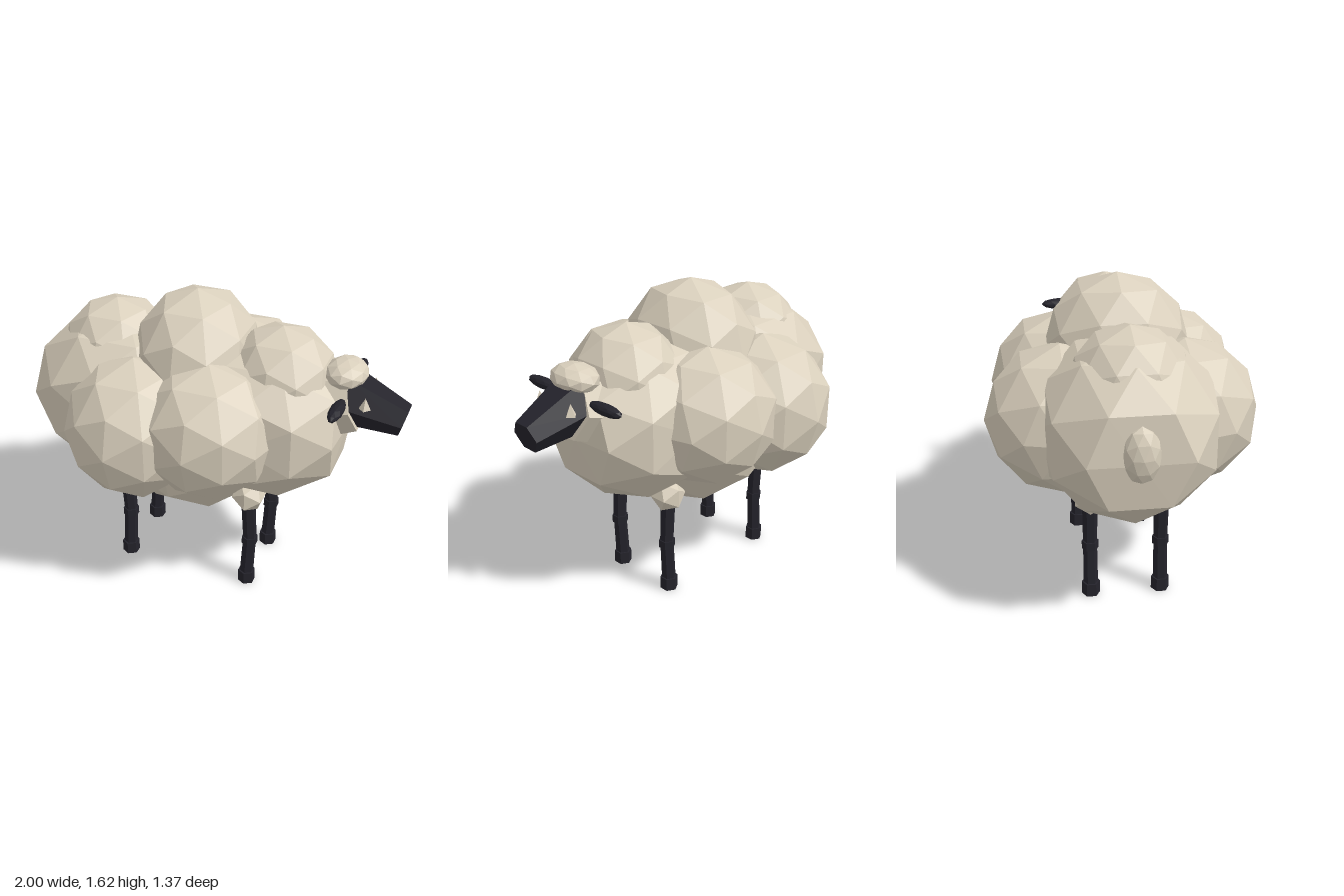
import * as THREE from 'three';

export function createModel() {
  const sheep = new THREE.Group();
  sheep.name = 'sheep';

  const material = (name, color) => {
    const m = new THREE.MeshStandardMaterial({ color, flatShading: true });
    m.name = name;
    return m;
  };
  const wool = material('wool', 0xdad0bd);
  const skin = material('dark skin', 0x24232b);

  const add = (name, geometry, mat, position) => {
    const mesh = new THREE.Mesh(geometry, mat);
    mesh.name = name;
    mesh.position.set(...position);
    sheep.add(mesh);
    return mesh;
  };

  // Faceted ball, optionally squashed along each axis
  const blob = (name, position, radii, detail = 1, mat = wool) =>
    add(name, new THREE.IcosahedronGeometry(1, detail).scale(...radii), mat, position);

  // Ball whose ends are flattened where they pass the given half sizes
  const flattenedBlob = (name, position, radii, limits) => {
    const mesh = blob(name, position, radii);
    const p = mesh.geometry.attributes.position;
    const max = new THREE.Vector3(...limits);
    const min = max.clone().negate();
    const v = new THREE.Vector3();
    for (let i = 0; i < p.count; i++) {
      v.fromBufferAttribute(p, i).clamp(min, max);
      p.setXYZ(i, v.x, v.y, v.z);
    }
    mesh.geometry.computeVertexNormals();
  };

  // Six-sided tapered tube between two points
  const limb = (name, from, to, r0, r1, mat = skin) => {
    const a = new THREE.Vector3(...from);
    const b = new THREE.Vector3(...to);
    const dir = b.clone().sub(a);
    const mid = a.clone().add(b).multiplyScalar(0.5);
    const mesh = add(name, new THREE.CylinderGeometry(r1, r0, dir.length(), 6), mat, mid.toArray());
    mesh.quaternion.setFromUnitVectors(new THREE.Vector3(0, 1, 0), dir.normalize());
  };

  // Fleece along the centre line
  flattenedBlob('rumpWool', [-0.5, 0.985, 0], [0.525, 0.46, 0.47], [0.45, 0.44, 0.43]);
  flattenedBlob('chestWool', [0.27, 0.99, 0], [0.49, 0.43, 0.43], [0.43, 0.43, 0.385]);
  blob('bellyWool', [-0.1, 0.9, 0], [0.5, 0.5, 0.5]);
  blob('backWool', [-0.1, 1.25, 0], [0.33, 0.37, 0.37]);
  blob('rumpTopWool', [-0.55, 1.2, 0], [0.3, 0.3, 0.3]);
  blob('shoulderTopWool', [0.35, 1.2, 0], [0.29, 0.295, 0.29]);
  blob('tail', [-0.93, 1.03, 0], [0.07, 0.14, 0.09]);

  // Neck, head and forelock
  limb('neck', [0.45, 1.09, 0], [0.735, 1.165, 0], 0.2, 0.158, wool);
  limb('head', [0.69, 1.18, 0], [0.985, 1.1, 0], 0.147, 0.083);
  blob('forelock', [0.68, 1.305, 0], [0.108, 0.07, 0.135]);

  for (const side of [1, -1]) {
    // Side fleece
    blob('rearSideWool', [-0.32, 0.96, side * 0.305], [0.365, 0.38, 0.38]);
    blob('frontSideWool', [0.07, 1.01, side * 0.28], [0.365, 0.36, 0.36]);

    // Ears, tilted up towards the nose
    const ear = blob('ear', [0.695, 1.215, side * 0.225], [0.037, 0.03, 0.108], 1, skin);
    ear.rotation.z = 0.3;

    // Small pointed eyes
    add('eye', new THREE.ConeGeometry(0.03, 0.06, 4), wool, [0.805, 1.214, side * 0.112]);

    // Legs: wool cuff, thigh, knee, shin and hoof
    for (const [end, x, cuffY, cuffR] of [['front', 0.25, 0.58, 0.093], ['rear', -0.46, 0.565, 0.087]]) {
      const z = side * 0.183;
      blob(end + 'LegCuff', [x + 0.005, cuffY, z], [cuffR, cuffR, cuffR], 0);
      limb(end + 'Thigh', [x + 0.016, 0.28, z], [x + 0.002, 0.58, z], 0.036, 0.04);
      limb(end + 'Knee', [x + 0.014, 0.265, z], [x + 0.014, 0.31, z], 0.043, 0.043);
      limb(end + 'Shin', [x, 0.05, z], [x + 0.014, 0.29, z], 0.038, 0.036);
      limb(end + 'Hoof', [x, 0, z], [x, 0.07, z], 0.048, 0.047);
    }
  }
  return sheep;
}
